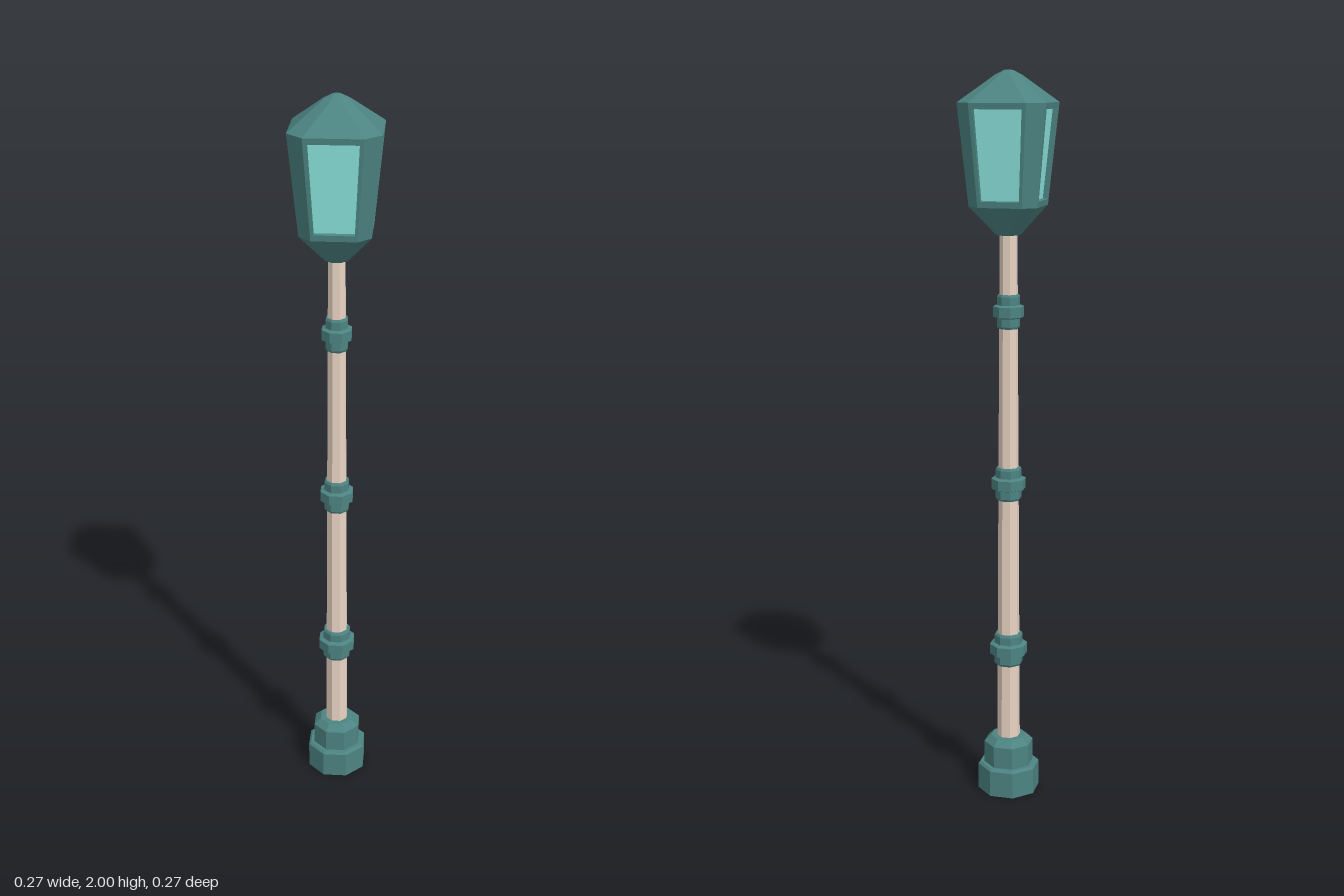
import * as THREE from 'three';

const material = (color) =>
  new THREE.MeshStandardMaterial({ color, flatShading: true, roughness: 0.8 });

const REGULAR = Math.tan(Math.PI / 8); // half side of a regular octagon per unit apothem
const HEAD = 0.03 / 0.137;             // narrow sides of the lantern head

// Eight corners, left to right as seen from outside; narrow sides lie on the axes
function octagon(apothem, y, ratio) {
  const points = [];
  const h = apothem * ratio;
  for (let k = 0; k < 4; k++) {
    for (const x of [-h, h]) {
      let p = [x, apothem];
      for (let r = 0; r < k; r++) p = [p[1], -p[0]];
      points.push(new THREE.Vector3(p[0], y, p[1]));
    }
  }
  return points;
}

// Mesh from quads given as bottom-left, bottom-right, top-right, top-left
function quadMesh(name, quads, mat) {
  const positions = [];
  for (const [a, b, c, d] of quads) {
    for (const p of [a, b, c, a, c, d]) positions.push(p.x, p.y, p.z);
  }
  const geometry = new THREE.BufferGeometry();
  geometry.setAttribute('position', new THREE.Float32BufferAttribute(positions, 3));
  geometry.computeVertexNormals();
  const mesh = new THREE.Mesh(geometry, mat);
  mesh.name = name;
  return mesh;
}

// Eight-sided solid through a profile of [apothem, y, ratio]
function loft(name, profile, mat, ratio = REGULAR) {
  const rings = profile.map(([a, y, r = ratio]) => octagon(a, y, r));
  const quads = [];
  for (let i = 0; i + 1 < rings.length; i++) {
    for (let j = 0; j < 8; j++) {
      const n = (j + 1) % 8;
      quads.push([rings[i][j], rings[i][n], rings[i + 1][n], rings[i + 1][j]]);
    }
  }
  return quadMesh(name, quads, mat);
}

export function createModel() {
  const model = new THREE.Group();
  model.name = 'streetLamp';
  const metal = material(0x4c8482);
  const pole = material(0xe8d3c3);
  const glass = material(0x8ce6e0);

  // Stepped foot
  model.add(loft('base', [
    [0, 0], [0.08, 0], [0.08, 0.074], [0.074, 0.08],
    [0.064, 0.08], [0.064, 0.142], [0.046, 0.16], [0, 0.16],
  ], metal));

  // Tapered shaft
  model.add(loft('pole', [[0.03, 0.15], [0.022, 1.59]], pole));

  // Three collars, smaller towards the top
  for (const [y, inner, outer] of [[0.421, 0.037, 0.049], [0.9, 0.033, 0.044], [1.374, 0.029, 0.039]]) {
    model.add(loft('collar', [
      [0.02, y - 0.046], [inner - 0.003, y - 0.046], [inner, y - 0.04],
      [inner, y - 0.018], [outer, y - 0.014], [outer, y + 0.014],
      [inner, y + 0.018], [inner, y + 0.04], [inner - 0.003, y + 0.046], [0.02, y + 0.046],
    ], metal));
  }

  const head = new THREE.Group();
  head.name = 'lanternHead';
  model.add(head);

  // Funnel below and roof above the lantern body
  const bottomY = 1.653, topY = 1.918, bottomR = 0.107, topR = 0.137;
  head.add(loft('headFunnel', [[0, 1.577, REGULAR], [0.03, 1.577, REGULAR], [bottomR, bottomY]], metal, HEAD));
  head.add(loft('roof', [
    [topR, topY], [0.033, 1.987, REGULAR], [0.011, 1.999, REGULAR], [0, 2, REGULAR],
  ], metal, HEAD));

  // Lantern body: solid narrow posts, recessed windows in the wide sides
  const low = octagon(bottomR, bottomY, HEAD);
  const high = octagon(topR, topY, HEAD);
  const bodyQuads = [];
  const paneQuads = [];
  for (let j = 0; j < 8; j++) {
    const n = (j + 1) % 8;
    const face = [low[j], low[n], high[n], high[j]];
    if (j % 2 === 0) {
      bodyQuads.push(face);
      continue;
    }
    const inward = face[1].clone().sub(face[0])
      .cross(face[3].clone().sub(face[0])).normalize().multiplyScalar(-0.014);
    const at = (u, v) => face[0].clone().lerp(face[1], u)
      .lerp(face[3].clone().lerp(face[2], u), v);
    const opening = [at(0.07, 0.06), at(0.93, 0.06), at(0.93, 0.94), at(0.07, 0.94)];
    const pane = opening.map((p) => p.clone().add(inward));
    for (let k = 0; k < 4; k++) {
      const m = (k + 1) % 4;
      bodyQuads.push([face[k], face[m], opening[m], opening[k]]); // frame
      bodyQuads.push([opening[k], opening[m], pane[m], pane[k]]); // reveal
    }
    paneQuads.push(pane);
  }
  head.add(quadMesh('lanternFrame', bodyQuads, metal));
  head.add(quadMesh('windowPanes', paneQuads, glass));

  return model;
}
